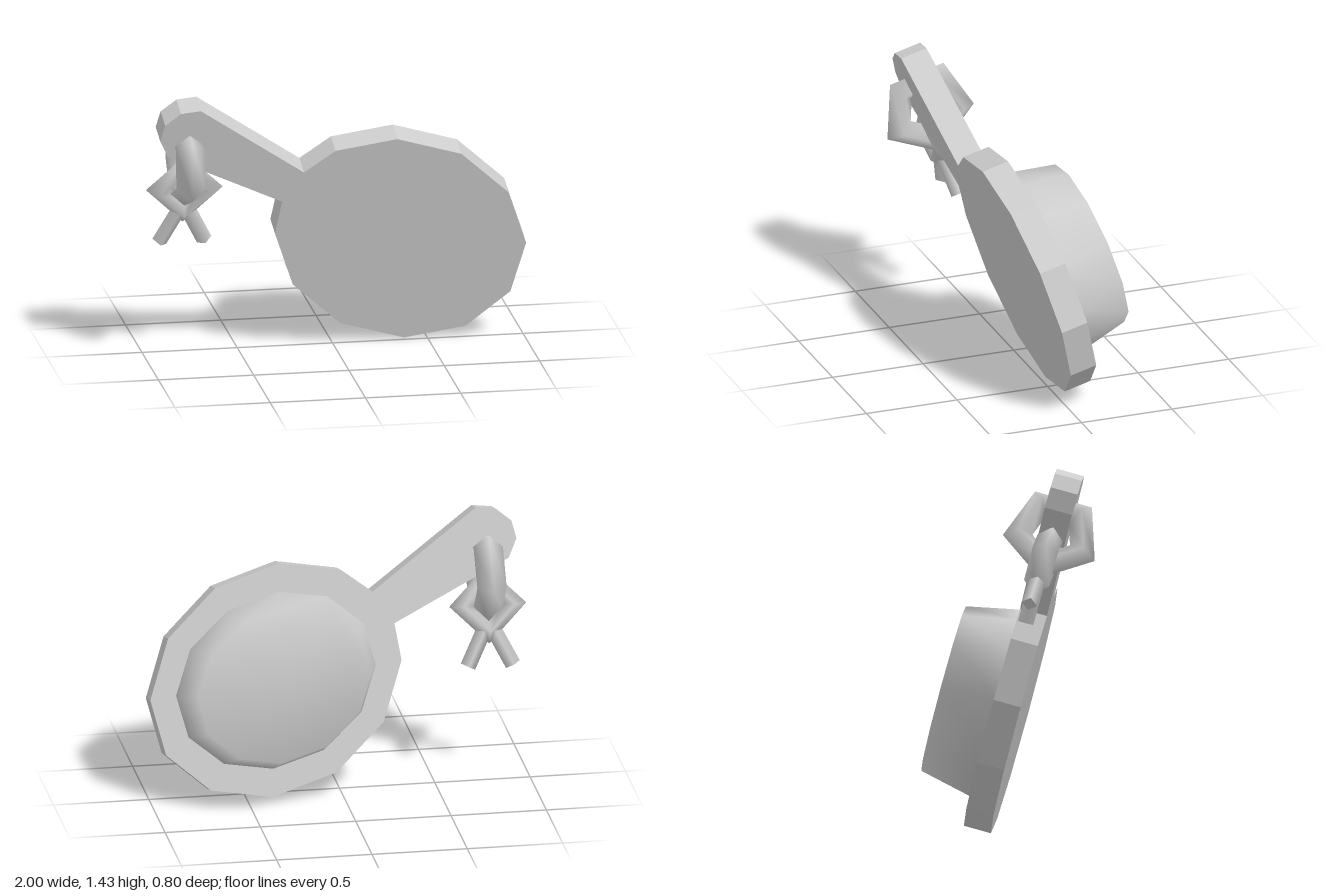
import * as THREE from 'three';

const TILT = 0.262;       // forward lean of the board
const THICK = 0.145;
const CX = 0.336, CY = 0.605; // centre of the oval, in the board's plane

const gray = new THREE.MeshStandardMaterial({ color: 0xcccccc });
gray.name = 'gray';

function add(parent, name, geometry) {
  const mesh = new THREE.Mesh(geometry, gray);
  mesh.name = name;
  parent.add(mesh);
  return mesh;
}

// Half of the twelve-sided oval, as offsets from its centre; the rest is point-symmetric
const half = [[-0.366, 0.552], [-0.044, 0.605], [0.297, 0.496], [0.555, 0.248], [0.662, -0.066], [0.592, -0.356]];
const oval = [...half, ...half.map(([x, y]) => [-x, -y])];

// Outline of the oval with the handle in place of the upper left corner
function boardGeometry() {
  const rim = oval.slice(0, 11).map(([x, y]) => [CX + x, CY + y]);
  const handle = [
    [-0.297, 0.864], [-0.91, 1.169], [-0.955, 1.268], [-0.933, 1.361],
    [-0.853, 1.428], [-0.75, 1.44], [-0.19, 1.035],
  ];
  const shape = new THREE.Shape([...rim, ...handle].map(([x, y]) => new THREE.Vector2(x, y)));
  return new THREE.ExtrudeGeometry(shape, { depth: THICK, bevelEnabled: false }).translate(0, 0, -THICK);
}

// Tapered bowl on the back, with normals shared between the wall and the end
function bowlGeometry() {
  const n = oval.length, pos = [], index = [];
  for (const [sx, sy, z] of [[0.795, 0.757, -THICK], [0.69, 0.667, -0.433]]) {
    for (const [x, y] of oval) pos.push(CX + x * sx, CY + y * sy, z);
  }
  for (let i = 0; i < n; i++) {
    const j = (i + 1) % n;
    index.push(i, j, n + j, i, n + j, n + i);
    if (i > 0 && i < n - 1) index.push(n, n + i, n + i + 1);
  }
  const g = new THREE.BufferGeometry();
  g.setAttribute('position', new THREE.Float32BufferAttribute(pos, 3));
  g.setIndex(index);
  g.computeVertexNormals();
  return g;
}

export function createModel() {
  const model = new THREE.Group();
  model.name = 'model';

  // Leaning board with handle and bowl
  const body = new THREE.Group();
  body.name = 'body';
  body.position.set(0, 0.005, -0.033);
  body.rotation.x = TILT;
  add(body, 'boardWithHandle', boardGeometry());
  add(body, 'bowl', bowlGeometry());
  model.add(body);

  // Five-sided ring through the handle
  const ring = add(model, 'handleRing', new THREE.TorusGeometry(0.183, 0.077, 4, 5));
  ring.position.set(-0.8, 1.07, 0.18);
  ring.rotation.set(0, Math.PI / 2, -0.047);

  // Four-sided knot hanging from the ring, with two loose ends
  const knot = new THREE.Group();
  knot.name = 'knot';
  knot.position.set(-0.8, 0.92, 0.13);
  knot.rotation.x = TILT;
  add(knot, 'knotLoop', new THREE.TorusGeometry(0.135, 0.067, 4, 4));
  for (const side of [-1, 1]) {
    const from = new THREE.Vector3(side * 0.02, -0.12, 0);
    const to = new THREE.Vector3(side * 0.118, -0.316, 0);
    const dir = to.clone().sub(from);
    const end = add(knot, side < 0 ? 'rightLooseEnd' : 'leftLooseEnd',
      new THREE.CylinderGeometry(0.041, 0.041, dir.length(), 4));
    end.position.copy(from).add(to).multiplyScalar(0.5);
    end.quaternion.setFromUnitVectors(new THREE.Vector3(0, 1, 0), dir.normalize());
  }
  model.add(knot);

  return model;
}
